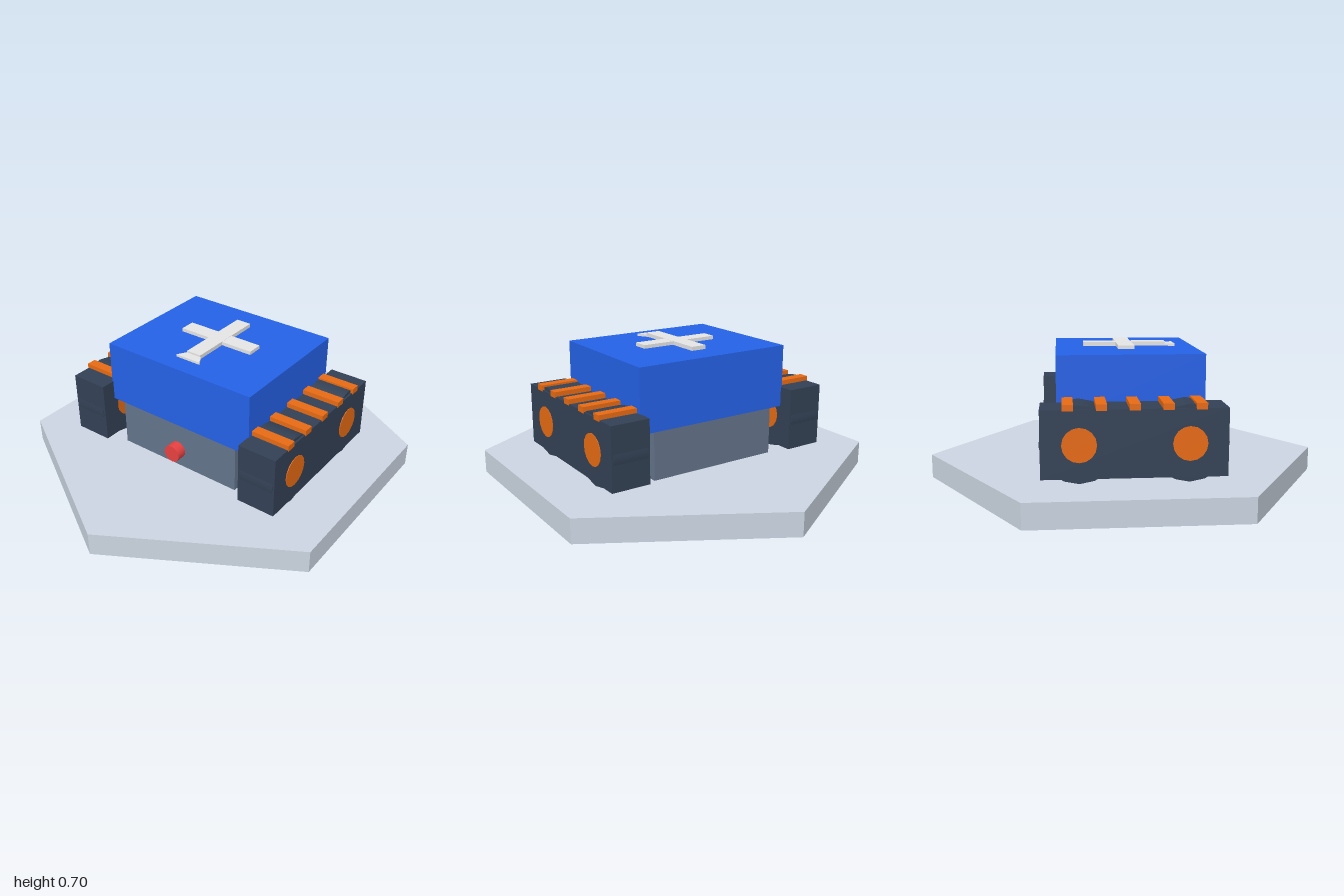
import * as THREE from 'three';

const material = (name, color) => {
  const m = new THREE.MeshStandardMaterial({ color });
  m.name = name;
  return m;
};

export function createModel() {
  const paleGrey = material('paleGrey', 0xcbd5e1);
  const slate = material('slate', 0x64748b);
  const blue = material('blue', 0x2563eb);
  const darkSlate = material('darkSlate', 0x334155);
  const orange = material('orange', 0xf97316);
  const red = material('red', 0xef4444);
  const silver = material('silver', 0xe5e5e5);

  const model = new THREE.Group();
  model.name = 'trackedVehicle';

  const add = (parent, name, geometry, mat, x, y, z) => {
    const mesh = new THREE.Mesh(geometry, mat);
    mesh.name = name;
    mesh.position.set(x, y, z);
    parent.add(mesh);
    return mesh;
  };
  const box = (w, h, d) => new THREE.BoxGeometry(w, h, d);
  const axle = (r, length, sides) =>
    new THREE.CylinderGeometry(r, r, length, sides).rotateZ(Math.PI / 2);

  // Hexagonal stand with corners at front and back
  const stand = new THREE.CylinderGeometry(1, 1, 0.12, 6).toNonIndexed();
  stand.computeVertexNormals();
  add(model, 'stand', stand, paleGrey, 0, 0.06, 0);

  // Hull and upper body
  add(model, 'hull', box(0.7, 0.24, 0.7), slate, 0, 0.24, 0);
  add(model, 'upperBody', box(0.85, 0.32, 0.7), blue, 0, 0.52, 0);

  // Front lamp
  const lamp = new THREE.CylinderGeometry(0.045, 0.045, 0.07, 16).rotateX(Math.PI / 2);
  add(model, 'frontLamp', lamp, red, 0, 0.215, 0.367);

  // Cross-shaped emblem with a triangular tail
  const emblem = new THREE.Group();
  emblem.name = 'roofEmblem';
  model.add(emblem);
  add(emblem, 'emblemSpine', box(0.08, 0.02, 0.42), silver, 0, 0.692, 0);
  add(emblem, 'emblemArms', box(0.42, 0.018, 0.08), silver, 0, 0.692, -0.005);
  const tail = new THREE.CylinderGeometry(0.08, 0.08, 0.012, 3).rotateY(Math.PI).toNonIndexed();
  tail.computeVertexNormals();
  add(emblem, 'emblemTail', tail, silver, 0, 0.687, 0.215);

  // Track units on both sides
  for (const side of [1, -1]) {
    const track = new THREE.Group();
    track.name = side > 0 ? 'leftTrack' : 'rightTrack';
    track.position.x = side * 0.52;
    model.add(track);

    add(track, 'trackBlock', box(0.2, 0.316, 0.85), darkSlate, 0, 0.303, 0);
    for (const z of [-0.25, 0.25]) {
      add(track, 'wheel', axle(0.18, 0.18, 16), darkSlate, 0, 0.3, z);
      add(track, 'hub', axle(0.08, 0.206, 16), orange, 0, 0.3, z);
    }
    // Tread bars across the top
    for (let i = -2; i <= 2; i++) {
      add(track, 'treadBar', box(0.207, 0.03, 0.05), orange, 0, 0.47, i * 0.15);
    }
  }
  return model;
}
